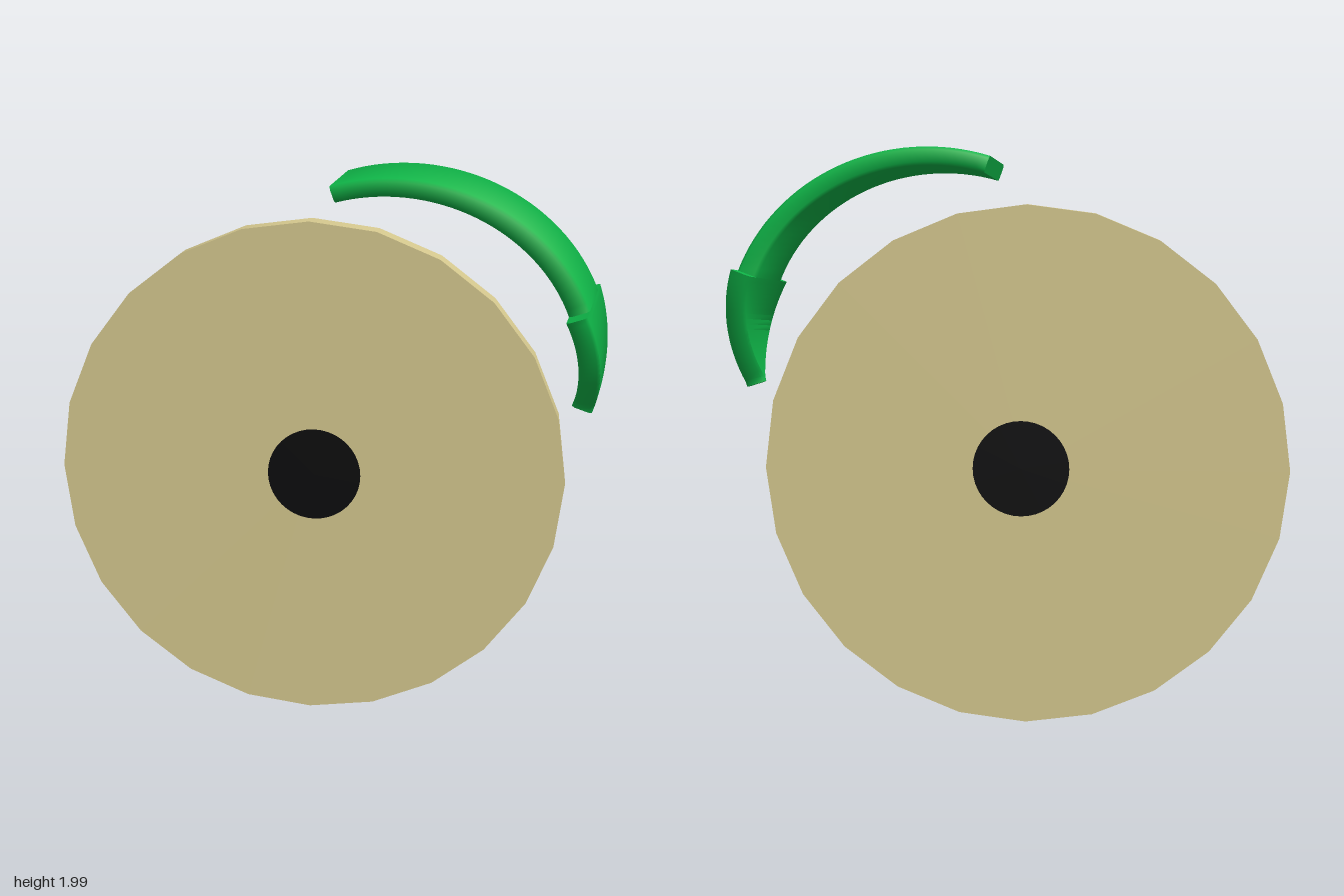
import * as THREE from 'three';
import { toCreasedNormals } from 'three/addons/utils/BufferGeometryUtils.js';

const mat = (name, color) => Object.assign(new THREE.MeshStandardMaterial({ color }), { name });

// Curved arrow: a bevelled rectangular section swept along an elliptical arc
function arrowGeometry() {
  const RX = 0.69, RY = 0.625, BEVEL = 0.01, RAD = Math.PI / 180;
  const TAIL = 108.4, SHOULDER = 19.6, TIP = -17.7;
  const stations = [];
  const bodySteps = 32, headSteps = 20;
  for (let i = 0; i <= bodySteps; i++) {
    const s = i / bodySteps;
    stations.push([TAIL + (SHOULDER - TAIL) * s, 0.135, 0.058 + 0.014 * s]);
  }
  for (let i = 0; i <= headSteps; i++) {
    const s = i / headSteps;
    const half = Math.max(BEVEL, 0.207 * (1 - s) * (1 + 0.45 * s));
    stations.push([SHOULDER + (TIP - SHOULDER) * s, half, 0.072]);
  }

  const pos = [], index = [], N = 8;
  for (const [deg, w, d] of stations) {
    const b = BEVEL, c = Math.cos(deg * RAD), s = Math.sin(deg * RAD);
    // pairs of inward depth and sideways offset
    const section = [
      [d, -w + b], [d - b, -w], [b, -w], [0, -w + b],
      [0, w - b], [b, w], [d - b, w], [d, w - b],
    ];
    for (const [depth, z] of section) pos.push(c * (RX - depth), s * (RY - depth), z);
  }
  for (let k = 0; k < stations.length - 1; k++) {
    for (let i = 0; i < N; i++) {
      const a = k * N + i, a1 = k * N + (i + 1) % N;
      index.push(a, a1, a1 + N, a, a1 + N, a + N);
    }
  }
  // end caps
  const last = (stations.length - 1) * N;
  for (let i = 1; i < N - 1; i++) {
    index.push(0, i + 1, i, last, last + i, last + i + 1);
  }
  const g = new THREE.BufferGeometry();
  g.setAttribute('position', new THREE.Float32BufferAttribute(pos, 3));
  g.setIndex(index);
  return toCreasedNormals(g, 0.85);
}

export function createModel() {
  const group = new THREE.Group();
  const tan = mat('tan', 0xd6c98f);
  const black = mat('black', 0x0c0c0d);
  const green = mat('green', 0x0fb648);

  const add = (name, geometry, material, x, y, z) => {
    const mesh = new THREE.Mesh(geometry, material);
    mesh.name = name;
    mesh.position.set(x, y, z);
    group.add(mesh);
    return mesh;
  };

  // Wheel disc with 24 sides
  const DISC_Z = -0.088, DEPTH = 0.09;
  add('disc', new THREE.CylinderGeometry(0.9, 0.9, DEPTH, 24).rotateX(Math.PI / 2), tan, -0.07, 0.904, DISC_Z);

  // Painted hub spot on both faces
  for (const side of [1, -1]) {
    const spot = add(side > 0 ? 'frontHub' : 'backHub', new THREE.CircleGeometry(0.166, 40), black,
      -0.053, 0.906, DISC_Z + side * (DEPTH / 2 + 0.002));
    if (side < 0) spot.rotation.y = Math.PI;
  }

  // Rotation arrow, its plane slightly tilted against the disc
  const arrow = add('rotationArrow', arrowGeometry(), green, 0.255, 1.36, -0.093);
  const n = new THREE.Vector3(-0.125, -0.1, 1).normalize();
  const u = new THREE.Vector3(1, 0, 0.125).normalize();
  const v = new THREE.Vector3().crossVectors(n, u);
  arrow.quaternion.setFromRotationMatrix(new THREE.Matrix4().makeBasis(u, v, n));

  return group;
}
